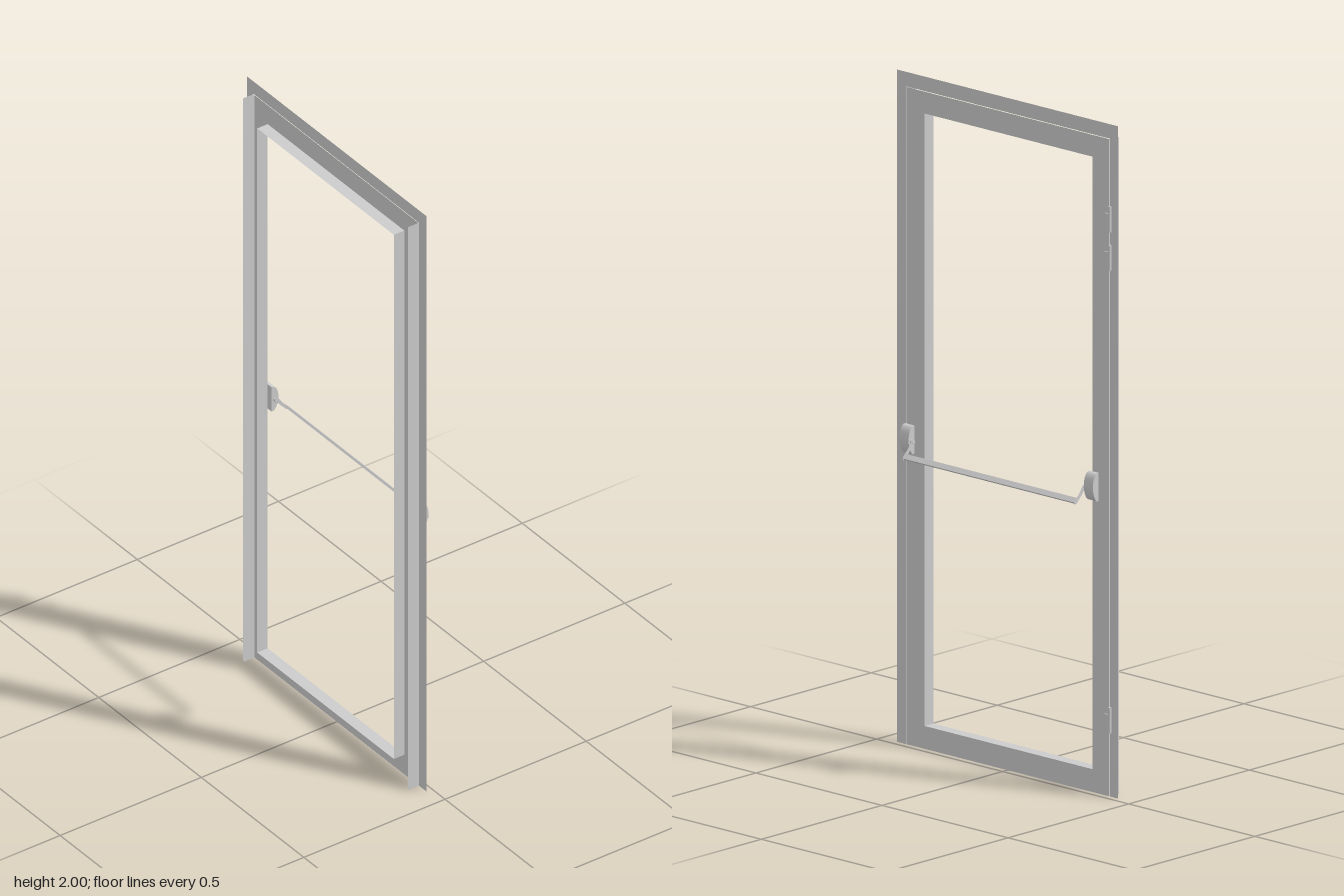
import * as THREE from 'three';

const metal = new THREE.MeshStandardMaterial({ color: 0xcccccc, side: THREE.DoubleSide });
const SHEET_Z = 0.02, FRONT_Z = 0.057;

function add(parent, name, geometry, x = 0, y = 0, z = 0) {
  const mesh = new THREE.Mesh(geometry, metal);
  mesh.name = name;
  mesh.position.set(x, y, z);
  parent.add(mesh);
  return mesh;
}

const polygon = (pts) => new THREE.Shape(pts.map(([x, y]) => new THREE.Vector2(x, y)));
const rect = (x0, y0, x1, y1) => polygon([[x0, y0], [x1, y0], [x1, y1], [x0, y1]]);

// Side profile drawn as (backward, up), extruded along +x
function extrudeX(shape, width) {
  return new THREE.ExtrudeGeometry(shape, { depth: width, bevelEnabled: false, curveSegments: 10 })
    .rotateY(Math.PI / 2);
}

// Thin wall running front to back between two points of the xy plane
function wall(parent, name, x0, y0, x1, y1) {
  const length = Math.hypot(x1 - x0, y1 - y0);
  const geometry = new THREE.PlaneGeometry(length, FRONT_Z - SHEET_Z)
    .rotateX(Math.PI / 2)
    .rotateZ(Math.atan2(y1 - y0, x1 - x0));
  add(parent, name, geometry, (x0 + x1) / 2, (y0 + y1) / 2, (SHEET_Z + FRONT_Z) / 2);
}

function makeFrame() {
  const g = new THREE.Group();
  g.name = 'doorFrame';
  const face = polygon([[-0.438, 0], [-0.407, 0], [-0.407, 1.957], [0.4, 1.957],
    [0.4, 0], [0.438, 0], [0.438, 2], [-0.438, 2]]);
  add(g, 'frameFace', new THREE.ShapeGeometry(face), 0, 0, SHEET_Z);
  wall(g, 'rightJamb', -0.407, 0, -0.407, 1.955);
  wall(g, 'leftJamb', 0.4, 0, 0.4, 1.955);
  return g;
}

function makeLeaf() {
  const g = new THREE.Group();
  g.name = 'doorLeaf';
  const [l, b, r, t] = [-0.337, 0.068, 0.329, 1.89];
  const face = rect(-0.402, 0, 0.398, 1.955);
  face.holes.push(rect(l, b, r, t));
  add(g, 'leafFace', new THREE.ShapeGeometry(face), 0, 0, SHEET_Z);
  wall(g, 'rightLeafEdge', -0.402, 0, -0.402, 1.955);
  wall(g, 'leftLeafEdge', 0.398, 0, 0.398, 1.955);
  // Lip around the window opening
  wall(g, 'openingSill', l, b, r, b);
  wall(g, 'openingHead', l, t, r, t);
  wall(g, 'openingRightSide', l, b, l, t);
  wall(g, 'openingLeftSide', r, b, r, t);
  return g;
}

function makeHinge(y) {
  const g = new THREE.Group();
  g.name = 'hinge';
  add(g, 'hingeKnuckle', new THREE.CylinderGeometry(0.0045, 0.0045, 0.076, 12), -0.41, y, 0.0155);
  add(g, 'hingePlate', new THREE.BoxGeometry(0.02, 0.032, 0.004), -0.4, y, 0.0165);
  return g;
}

function makePushBar() {
  const g = new THREE.Group();
  g.name = 'pushBar';

  // Rounded end housings
  const housing = new THREE.Shape();
  housing.moveTo(0, 0.878);
  housing.lineTo(0.006, 0.878);
  housing.bezierCurveTo(0.014, 0.88, 0.024, 0.9, 0.024, 0.922);
  housing.bezierCurveTo(0.024, 0.945, 0.014, 0.962, 0.004, 0.962);
  housing.lineTo(0, 0.962);
  housing.closePath();

  // Tapered arms reaching back and down to the bar
  const arm = polygon([[0.006, 0.92], [0.012, 0.926], [0.019, 0.92], [0.036, 0.897],
    [0.057, 0.876], [0.054, 0.87], [0.047, 0.872], [0.024, 0.896]]);

  const ends = [
    { housingX: -0.381, armX: -0.339, pinX: -0.342 },
    { housingX: 0.35, armX: 0.342, pinX: 0.346 },
  ];
  for (const { housingX, armX, pinX } of ends) {
    add(g, 'housing', extrudeX(housing, 0.036), housingX);
    add(g, 'arm', extrudeX(arm, 0.002), armX);
    add(g, 'pivotPin', new THREE.CylinderGeometry(0.0065, 0.0065, 0.01, 14).rotateZ(Math.PI / 2),
      pinX, 0.916, -0.012);
  }

  // Flat bar, tilted to follow the arms
  const bar = add(g, 'bar', new THREE.BoxGeometry(0.681, 0.007, 0.0165), 0.0025, 0.88, -0.0485);
  bar.rotation.x = -Math.PI / 4;
  return g;
}

export function createModel() {
  const model = new THREE.Group();
  model.name = 'glazedDoor';
  model.add(makeFrame(), makeLeaf(), makePushBar());
  for (const y of [1.718, 1.604, 0.228]) model.add(makeHinge(y));
  return model;
}
